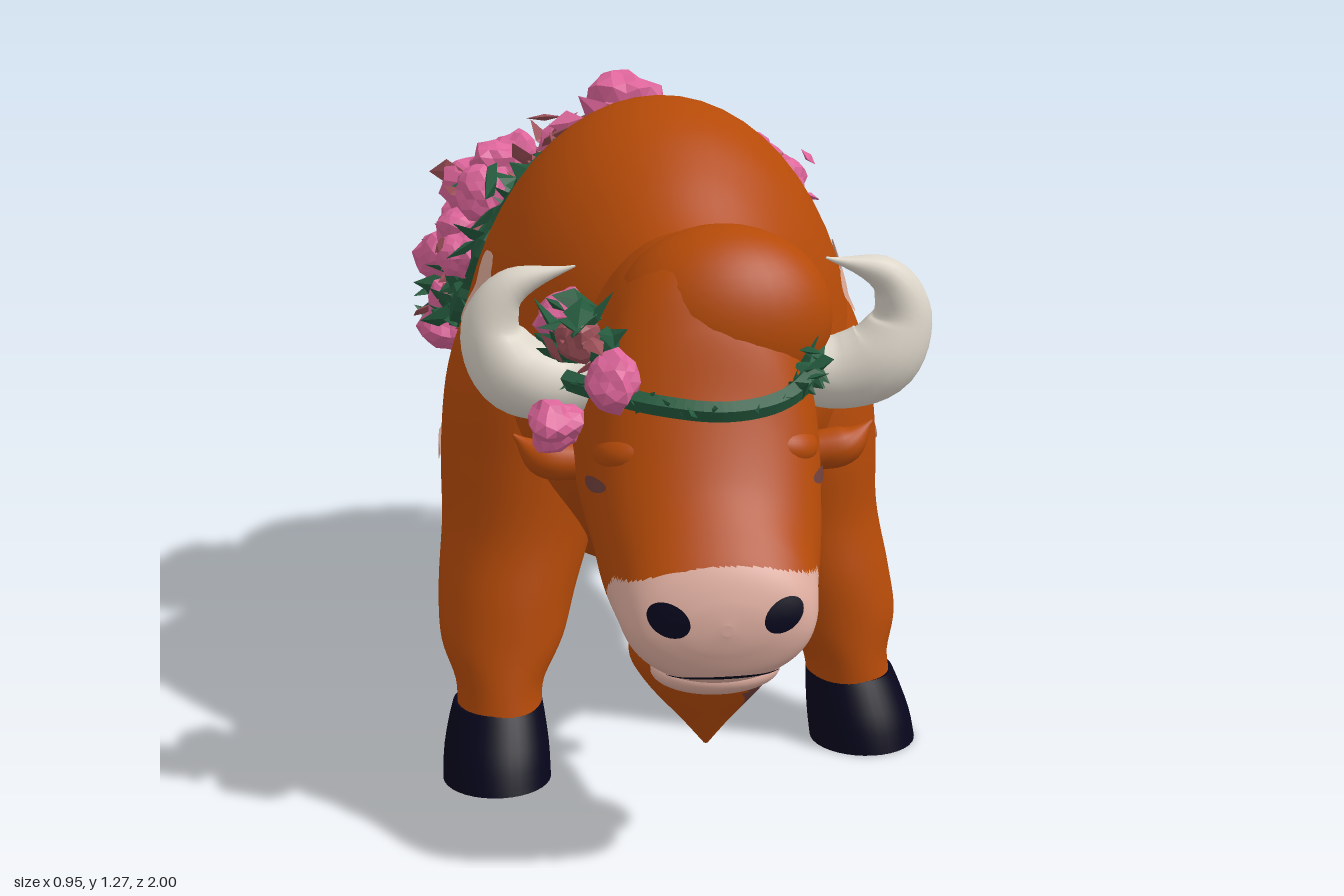
import * as THREE from 'three';
import { mergeGeometries } from 'three/addons/utils/BufferGeometryUtils.js';

const V = (x, y, z) => new THREE.Vector3(x, y, z);
const mat = (name, color, extra = {}) => new THREE.MeshStandardMaterial({ name, color, ...extra });
const hide = mat('hide', 0xb54a08);
const muzzlePink = mat('muzzlePink', 0xdfaea0);
const patchPink = mat('patchPink', 0xdba997, { side: THREE.DoubleSide });
const mauve = mat('mauve', 0x70403c, { side: THREE.DoubleSide });
const navy = mat('navy', 0x06051b, { side: THREE.DoubleSide });
const horn = mat('horn', 0xdcd5c9);
const rosePink = mat('rosePink', 0xdd659a, { flatShading: true });
const roseDark = mat('roseDark', 0x9c5058, { flatShading: true });
const leafGreen = mat('leafGreen', 0x24593d, { flatShading: true });

// Seeded random numbers
let seed = 7;
const rnd = (a = 0, b = 1) => {
  seed = (seed * 16807) % 2147483647;
  return a + (b - a) * seed / 2147483647;
};

// Catmull-Rom through rows of numbers
function smooth(rows, n) {
  return Array.from({ length: n + 1 }, (_, i) => {
    const t = i / n * (rows.length - 1), k = Math.min(Math.floor(t), rows.length - 2), f = t - k;
    const row = j => rows[THREE.MathUtils.clamp(k + j, 0, rows.length - 1)];
    return rows[0].map((_, c) => {
      const [a, b, d, e] = [row(-1)[c], row(0)[c], row(1)[c], row(2)[c]];
      return b + 0.5 * f * (d - a + f * (2 * a - 5 * b + 4 * d - e + f * (3 * (b - d) + e - a)));
    });
  });
}

// Skin over rings of points, capped at both ends; pick() chooses a material per face
function skin(rings, pick = () => 0) {
  const n = rings[0].length, pts = rings.flat(), lists = [[], []];
  const face = (a, b, c) => {
    const m = pts[a].clone().add(pts[b]).add(pts[c]).divideScalar(3);
    lists[pick(m)].push(a, b, c);
  };
  for (let i = 0; i < rings.length - 1; i++) for (let j = 0; j < n; j++) {
    const a = i * n + j, b = i * n + (j + 1) % n;
    face(a, b, a + n);
    face(b, b + n, a + n);
  }
  [rings[0], rings[rings.length - 1]].forEach((ring, end) => {
    const s = pts.length;
    pts.push(...ring, ring.reduce((p, q) => p.add(q), V(0, 0, 0)).divideScalar(n));
    for (let j = 0; j < n; j++) {
      const a = s + j, b = s + (j + 1) % n;
      end ? face(s + n, a, b) : face(s + n, b, a);
    }
  });
  const g = new THREE.BufferGeometry().setFromPoints(pts);
  g.setIndex(lists.flat());
  g.addGroup(0, lists[0].length, 0);
  g.addGroup(lists[0].length, lists[1].length, 1);
  g.computeVertexNormals();
  return g;
}
const around = (n, f) => Array.from({ length: n }, (_, j) => f(Math.cos(j / n * Math.PI * 2), Math.sin(j / n * Math.PI * 2)));

// Trunk-like form along z; rows are [z, bottom, top, halfWidth]
function trunk(rows, n, sides, mid, cx, pick) {
  return skin(smooth(rows, n).map(([z, lo, hi, w]) => {
    const m = lo + (hi - lo) * mid;
    return around(sides, (c, s) => V(cx + w * c, m + s * (s > 0 ? hi - m : m - lo), z));
  }), pick);
}
// Upright form; rows are [y, x, z, radiusX, radiusZ] from bottom to top
function limb(rows, n, pick) {
  return skin(smooth(rows, n).map(([y, x, z, rx, rz]) => around(36, (c, s) => V(x + rx * s, y, z + rz * c))), pick);
}
// Tapered tube through points with radii
function taper(points, radii, n = 32) {
  const curve = new THREE.CatmullRomCurve3(points.map(p => V(...p)));
  const { normals, binormals } = curve.computeFrenetFrames(n);
  return skin(smooth(radii.map(r => [r]), n).map(([r], i) => {
    const p = curve.getPoint(i / n);
    return around(18, (c, s) => p.clone().addScaledVector(normals[i], r * c).addScaledVector(binormals[i], r * s));
  }));
}
function ellipsoid(x, y, z, rx, ry, rz, tilt = 0) {
  return new THREE.SphereGeometry(1, 32, 24).scale(rx, ry, rz).rotateZ(tilt).translate(x, y, z);
}

export function createModel() {
  const root = new THREE.Group();
  const add = (name, geo, material) => {
    const m = new THREE.Mesh(geo, material);
    m.name = name;
    root.add(m);
    return m;
  };

  // Humped body
  const body = add('body', trunk([
    [-.875, .62, .75, .03], [-.86, .54, .83, .14], [-.81, .47, .92, .245], [-.7, .42, .965, .315], [-.55, .405, .99, .335],
    [-.4, .345, 1.03, .36], [-.2, .3, 1.1, .375], [-.05, .295, 1.21, .378], [.1, .31, 1.265, .38], [.2, .34, 1.265, .375],
    [.3, .4, 1.235, .345], [.4, .47, 1.175, .29], [.5, .5, 1.1, .235], [.6, .54, 1.04, .16]], 70, 56, .42, -.015), hide);
  const solid = [body];

  // Legs and hooves; the right front leg steps further forward
  for (const s of [1, -1]) {
    const side = s > 0 ? 'left' : 'right', step = s > 0 ? 0 : .1;
    const front = rows => rows.map(([y, x, z, a, b]) => [y, s * x - .02 * Math.min(1, y / .4), z + step * Math.max(0, 1 - y / .6), a, b]);
    const hind = rows => rows.map(([y, x, z, a, b]) => [y, s * x - .02, z, a, b]);
    solid.push(add(side + 'FrontLeg', limb(front([
      [.09, .355, .28, .085, .088], [.17, .348, .27, .084, .098], [.25, .335, .25, .118, .115], [.34, .315, .215, .134, .15],
      [.46, .283, .18, .15, .18], [.6, .262, .17, .168, .205], [.75, .245, .165, .168, .205], [.88, .21, .165, .157, .19],
      [1, .17, .16, .125, .14]]), 44), hide));
    add(side + 'FrontHoof', limb(front([[0, .37, .31, .104, .11], [.05, .366, .3, .102, .107], [.1, .36, .285, .094, .1], [.135, .355, .275, .086, .092]]), 8), navy);
    solid.push(add(side + 'HindLeg', limb(hind([
      [.09, .19, -.66, .083, .083], [.2, .19, -.7, .08, .066], [.3, .195, -.735, .087, .075], [.4, .2, -.725, .115, .115],
      [.5, .195, -.675, .14, .165], [.62, .18, -.65, .15, .17], [.78, .14, -.61, .1, .13]]), 32), hide));
    add(side + 'HindHoof', limb(hind([[0, .19, -.63, .1, .105], [.05, .19, -.64, .098, .102], [.1, .19, -.658, .091, .094], [.135, .19, -.67, .084, .086]]), 8), navy);
  }

  // Head with a paler muzzle and lower lip
  const head = add('head', trunk([
    [.42, .52, 1.07, .18], [.52, .47, 1.09, .215], [.6, .42, 1.1, .22], [.7, .39, 1.07, .215], [.76, .38, .97, .207],
    [.81, .375, .84, .198], [.87, .375, .725, .182], [.93, .38, .65, .17], [.97, .4, .6, .145], [.992, .45, .55, .085],
    [1, .49, .51, .01]], 150, 96, .45, -.02, p => p.z > .79 + Math.max(0, p.y - .47) * .9 && p.y < .605 - 1.4 * (p.x + .02) ** 2 ? 1 : 0), [hide, muzzlePink]);
  add('lowerLip', ellipsoid(-.02, .385, .87, .115, .04, .085), muzzlePink);
  add('hairTuft', ellipsoid(.03, .95, .615, .2, .17, .15), hide);
  add('beard', limb([[.2, -.02, .77, .004, .004], [.25, -.02, .77, .045, .035], [.32, -.02, .775, .105, .08], [.38, -.02, .785, .14, .1],
    [.44, -.02, .79, .14, .1]], 20, p => p.x > .04 && p.z > .73 ? 1 : 0), [hide, mauve]);

  // Horns, ears and brow ridges
  for (const s of [1, -1]) {
    const side = s > 0 ? 'left' : 'right', dx = s > 0 ? -.005 : -.03;
    add(side + 'Horn', taper([[.14, .87, .64], [.24, .85, .64], [.32, .88, .65], [.355, .96, .65], [.32, 1.03, .66], [.21, 1.07, .68]]
      .map(([x, y, z]) => [s * x + dx, y, z]), [.055, .068, .072, .054, .034, .002]), horn);
    add(side + 'Ear', taper([[.14, .68, .6], [.22, .69, .6], [.28, .7, .6], [.33, .74, .59]]
      .map(([x, y, z]) => [s * x - .015, y, z]), [.03, .036, .035, .003], 20), hide);
    add(side + 'Brow', ellipsoid(s * .13 - .02, .755, .745, .072, .045, .07, s * -.2), hide);
  }

  // Tail with a dark tuft
  add('tail', taper([[-.02, .85, -.81], [-.01, .78, -.885], [.03, .64, -.945], [.08, .5, -.97], [.12, .37, -.925]], [.045, .035, .028, .025, .024]), hide);
  add('tailTuft', taper([[.12, .39, -.93], [.13, .33, -.925], [.135, .26, -.9], [.14, .17, -.83]], [.026, .048, .052, .002], 20), navy);

  // Surface lookup and thin blotches laid on it
  const ray = new THREE.Raycaster();
  const hit = (targets, from, dir) => {
    ray.set(from, dir);
    return ray.intersectObjects(targets, false)[0];
  };
  function blotch(name, material, targets, dir, u, v, ru, rv, ragged = 0, turn = 0) {
    const g = new THREE.RingGeometry(.001, 1, 28, 4), p = g.attributes.position;
    for (let i = 0; i < p.count; i++) {
      const t = Math.atan2(p.getY(i), p.getX(i)), k = 1 + ragged * (Math.sin(3 * t + u * 9) + .6 * Math.cos(5 * t));
      const a = p.getX(i) * ru * k, b = p.getY(i) * rv * k;
      const x = u + a * Math.cos(turn) - b * Math.sin(turn), y = v + a * Math.sin(turn) + b * Math.cos(turn);
      const from = dir.z ? V(x, y, 2) : V(-dir.x * 2, y, x);
      const h = hit(targets, from, dir);
      const q = h ? h.point.addScaledVector(dir, -.005) : from.addScaledVector(dir, 1.6);
      p.setXYZ(i, q.x, q.y, q.z);
    }
    g.computeVertexNormals();
    add(name, g, material);
  }
  for (const s of [1, -1]) {
    const inward = V(-s, 0, 0);
    blotch('shoulderPatch', patchPink, solid, inward, .2, .915, .072, .07, .17);
    blotch('legPatch', patchPink, solid, inward, .13, .59, .055, .029, .12);
    blotch('rumpPatch', patchPink, solid, inward, -.69, .73, .026, .044, .15);
    blotch('smallRumpPatch', patchPink, solid, inward, -.77, .72, .012, .025, .1);
    blotch('eye', mauve, [head], inward, .775, .7, .032, .013);
    blotch('nostril', navy, [head], V(0, 0, -1), s * .1 - .02, .52, .038, .028, 0, s * .5);
  }
  blotch('mouth', navy, [head], V(0, 0, -1), -.02, .407, .1, .003);

  // Crumpled roses and pointed leaves, gathered by colour
  const petals = [], darkPetals = [], leaves = [];
  function rose(list, p, r) {
    const g = new THREE.IcosahedronGeometry(1, 2), a = g.attributes.position, k = rnd(0, 6);
    for (let i = 0; i < a.count; i++) {
      const [x, y, z] = [a.getX(i), a.getY(i), a.getZ(i)];
      const f = r * (.95 + .1 * Math.sin(x * 4.1 + k) + .1 * Math.sin(y * 5.3 - k + z * 3) + .06 * Math.sin(z * 9 + x * 7));
      a.setXYZ(i, x * f, y * f, z * f);
    }
    list.push(g.rotateX(rnd(0, 6)).translate(p.x, p.y, p.z));
  }
  function leaf(p, size, list = leaves) {
    list.push(new THREE.OctahedronGeometry(1).scale(size, size * .5, size * .18)
      .rotateX(rnd(0, 6)).rotateY(rnd(0, 6)).rotateZ(rnd(-1, 1)).translate(p.x, p.y, p.z));
  }
  // Point on the back: angle from straight up, position along z, height above the hide
  const onBack = (a, z, lift) => {
    const d = V(Math.sin(a), Math.cos(a), 0), h = hit([body], V(-.015, .7, z).addScaledVector(d, 2), d.clone().negate());
    return h.point.addScaledVector(d, lift);
  };
  const edge = (a, f) => {
    const k = (Math.abs(a) / 1.65) ** 4;
    return THREE.MathUtils.lerp(-.17 - .21 * k, -.58 + .06 * k, f);
  };

  // Back garland: leafy borders
  for (const f of [.03, .2, .94]) {
    const path = Array.from({ length: 25 }, (_, i) => {
      const a = -1.5 + 3 * i / 24;
      return onBack(a, edge(a, f) + .015 * Math.sin(i * 2), .005);
    });
    leaves.push(new THREE.TubeGeometry(new THREE.CatmullRomCurve3(path), 60, .026, 5).toNonIndexed());
  }
  for (let i = 0; i < 210; i++) {
    const a = rnd(-1.6, 1.6), f = i % 3 === 0 ? rnd(.88, 1.02) : i % 3 === 1 ? rnd(0, .25) : rnd(.2, .9);
    leaf(onBack(a, edge(a, f), rnd(.01, .04) + (i % 3 > 1 ? .03 : 0)), rnd(.045, .075));
  }
  // Loose dark petals, then roses that stand highest near the spine and shoulders
  for (let i = 0; i < 200; i++) {
    const a = rnd(-1.5, 1.5);
    leaf(onBack(a, edge(a, rnd(.25, .92)), rnd(.03, .1) * (1.2 - .4 * Math.abs(a))), rnd(.04, .065), i % 4 ? darkPetals : petals);
  }
  for (const s of [1, -1]) {
    for (const [a, f, lift, r] of [[.32, .76, .07, .055], [.6, .85, .09, .06], [.68, .5, .1, .055], [.78, .2, .085, .058], [.86, .66, .1, .068],
      [1, .42, .07, .055], [1.04, .88, .07, .06], [1.12, .12, .04, .052], [1.22, .6, .065, .066], [1.4, .35, .03, .05], [1.4, .85, .035, .055],
      [1.58, .5, .025, .06]]) {
      const b = s * a + rnd(-.05, .05), p = onBack(b, edge(b, f), lift);
      rose(petals, p, r);
      for (let i = 0; i < 3; i++) leaf(p.clone().add(V(rnd(-1, 1), rnd(-1, 1), rnd(-1, 1)).multiplyScalar(r)), r * .75, i ? darkPetals : petals);
    }
    leaf(onBack(s * .72, -.22, .08), .07);
    leaf(onBack(s * .75, -.26, .09), .07);
  }
  rose(petals, onBack(0, -.41, .13), .08);
  rose(petals, onBack(.1, -.47, .1), .06);

  // Brow garland with roses beside the right horn
  const band = [[-.27, .87, .68], [-.2, .86, .75], [-.11, .85, .815], [0, .84, .835], [.1, .845, .8], [.165, .87, .74], [.2, .91, .64]].map(p => V(...p));
  const vine = new THREE.CatmullRomCurve3(band);
  leaves.push(new THREE.TubeGeometry(vine, 40, .019, 5).toNonIndexed());
  for (let i = 0; i <= 24; i++) leaf(vine.getPoint(i / 24), rnd(.028, .042));
  for (let i = 0; i < 26; i++) leaf(V(rnd(-.28, -.17), rnd(.88, 1.01), rnd(.58, .76)), rnd(.04, .06));
  for (let i = 0; i < 10; i++) leaf(V(rnd(.14, .2), rnd(.85, .92), rnd(.68, .76)), rnd(.035, .05));
  for (let i = 0; i < 8; i++) leaf(V(rnd(-.3, -.22), rnd(.88, .99), rnd(.66, .78)), .04, darkPetals);
  rose(petals, V(-.19, .89, .79), .055);
  rose(petals, V(-.285, .8, .73), .05);
  rose(petals, V(-.25, .95, .58), .052);
  rose(darkPetals, V(-.24, .95, .72), .045);

  add('roses', mergeGeometries(petals), rosePink);
  add('innerRoses', mergeGeometries(darkPetals), roseDark);
  add('leaves', mergeGeometries(leaves), leafGreen);
  return root;
}
